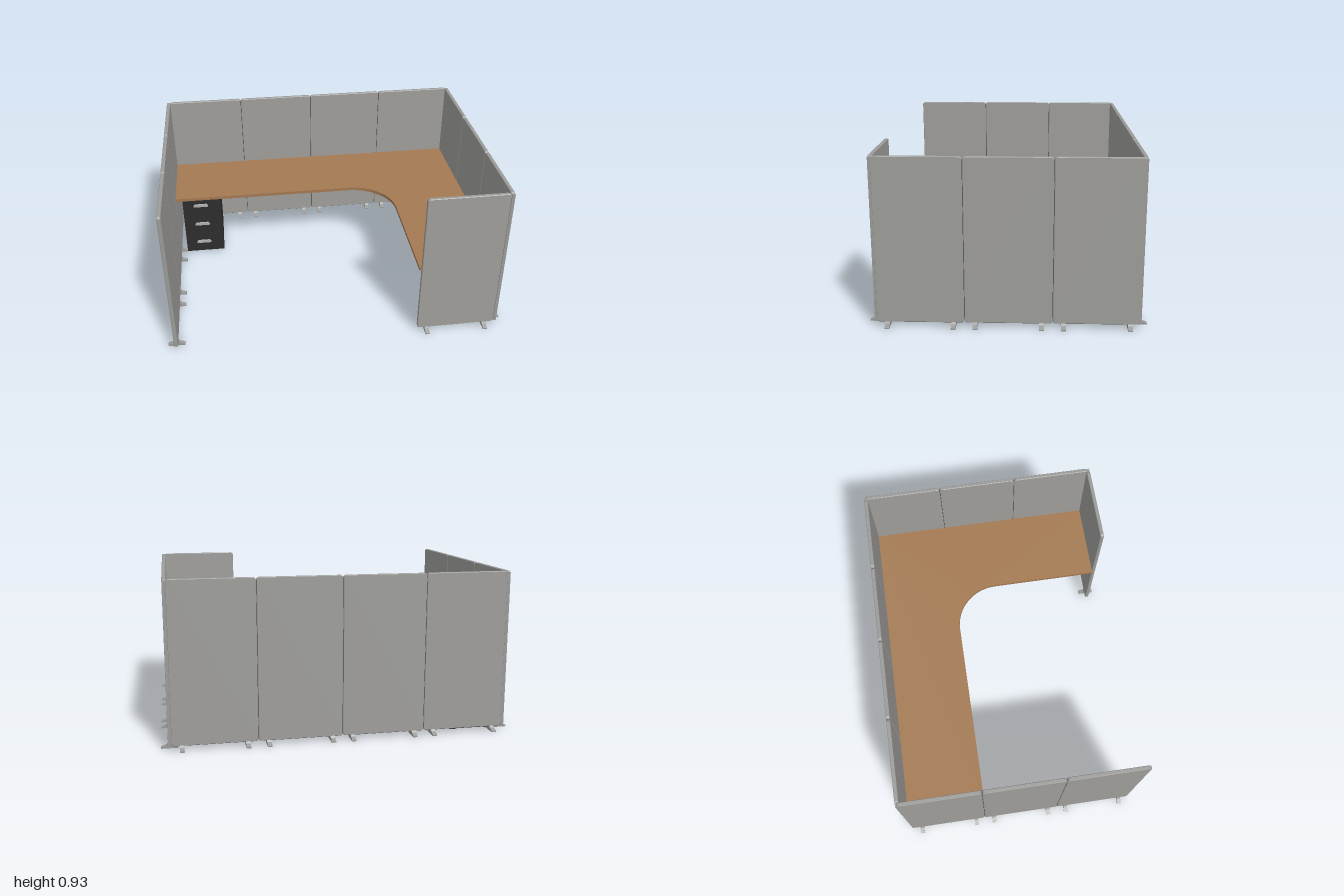
import * as THREE from 'three';

const mat = (name, color) => {
  const m = new THREE.MeshStandardMaterial({ color });
  m.name = name;
  return m;
};

export function createModel() {
  const model = new THREE.Group();
  model.name = 'officeCubicle';
  const fabric = mat('greyFabric', 0x9f9e9b);
  const frame = mat('greyFrame', 0x9b9b99);
  const seam = mat('darkSeam', 0x3c3c3c);
  const wood = mat('wood', 0xa47a53);
  const black = mat('blackCabinet', 0x2d2d2d);
  const metal = mat('lightMetal', 0xb0b0ae);

  const add = (parent, name, geo, material, x = 0, y = 0, z = 0) => {
    const mesh = new THREE.Mesh(geo, material);
    mesh.name = name;
    mesh.position.set(x, y, z);
    parent.add(mesh);
    return mesh;
  };
  const box = (w, h, d) => new THREE.BoxGeometry(w, h, d);
  const polygon = pts => new THREE.Shape(pts.map(p => new THREE.Vector2(...p)));

  // Partition panel: rounded rectangle with softened frame edges
  const BOTTOM = 0.025, TOP = 0.932, T = 0.022, B = 0.003;
  const panelGeo = width => {
    const w = width / 2 - 0.001 - B, y0 = BOTTOM + B, y1 = TOP - B, r = 0.014;
    const s = new THREE.Shape();
    s.moveTo(-w + r, y0);
    s.lineTo(w - r, y0);
    s.absarc(w - r, y0 + r, r, -Math.PI / 2, 0);
    s.lineTo(w, y1 - r);
    s.absarc(w - r, y1 - r, r, 0, Math.PI / 2);
    s.lineTo(-w + r, y1);
    s.absarc(-w + r, y1 - r, r, Math.PI / 2, Math.PI);
    s.lineTo(-w, y0 + r);
    s.absarc(-w + r, y0 + r, r, Math.PI, Math.PI * 1.5);
    const g = new THREE.ExtrudeGeometry(s, {
      depth: T - 2 * B, bevelEnabled: true, bevelSize: B, bevelThickness: B,
      bevelSegments: 1, curveSegments: 5,
    });
    return g.translate(0, 0, -T / 2 + B);
  };

  // Foot: low tapered bar lying across the panel, with a short stem
  const footGeo = new THREE.ExtrudeGeometry(polygon([
    [-0.048, 0], [0.048, 0], [0.048, 0.007], [0.018, 0.018], [0.011, 0.028],
    [-0.011, 0.028], [-0.018, 0.018], [-0.048, 0.007],
  ]), { depth: 0.025, bevelEnabled: false }).translate(0, 0, -0.0125).rotateY(Math.PI / 2);

  // A straight run of equal panels along local x, with feet and joint strips
  const wall = (name, count, width, x, z, turn) => {
    const g = new THREE.Group();
    g.name = name;
    g.position.set(x, 0, z);
    g.rotation.y = turn;
    const geo = panelGeo(width);
    for (let i = 0; i < count; i++) {
      const cx = (i - (count - 1) / 2) * width;
      add(g, 'panel', geo, [fabric, frame], cx);
      for (const s of [-1, 1]) add(g, 'foot', footGeo, frame, cx + s * (width / 2 - 0.058));
      if (i > 0) {
        add(g, 'jointStrip', box(0.008, TOP - BOTTOM - 0.03, T - 0.006), seam,
          cx - width / 2, (TOP + BOTTOM) / 2);
      }
    }
    model.add(g);
  };
  wall('backWall', 4, 0.474, 0, -0.705, 0);
  wall('leftWall', 3, 0.47, 0.954, -0.008, Math.PI / 2);
  wall('rightWall', 3, 0.47, -0.954, -0.008, Math.PI / 2);
  wall('frontReturn', 1, 0.47, 0.71, 0.699, 0);

  // Corner posts closing the outer corners
  for (const [x, z] of [[-0.955, -0.706], [0.955, -0.706], [0.955, 0.699]]) {
    add(model, 'cornerPost', box(0.018, TOP - BOTTOM - 0.012, 0.018), frame,
      x, (TOP + BOTTOM) / 2, z);
  }

  // L-shaped desktop with a curved inner corner (shape y is -z)
  const desk = new THREE.Shape();
  desk.moveTo(-0.942, 0.235);
  desk.lineTo(0.197, 0.235);
  desk.absarc(0.197, -0.035, 0.27, Math.PI / 2, 0, true);
  desk.lineTo(0.467, -0.688);
  desk.lineTo(0.942, -0.688);
  desk.lineTo(0.942, 0.694);
  desk.lineTo(-0.942, 0.694);
  const deskGeo = new THREE.ExtrudeGeometry(desk, { depth: 0.02, bevelEnabled: false, curveSegments: 24 });
  add(model, 'desktop', deskGeo.rotateX(-Math.PI / 2), wood, 0, 0.44, 0);

  // Drawer cabinet
  const cabinet = new THREE.Group();
  cabinet.name = 'drawerCabinet';
  cabinet.position.set(-0.78, 0, -0.475);
  model.add(cabinet);
  add(cabinet, 'carcass', box(0.25, 0.433, 0.378), black, 0, 0.2225, 0);
  for (const x of [-0.105, 0.105]) for (const z of [-0.165, 0.165]) {
    add(cabinet, 'cabinetFoot', box(0.03, 0.008, 0.03), black, x, 0.004, z);
  }
  const handleGeo = new THREE.ExtrudeGeometry(polygon([
    [-0.048, -0.009], [0.048, -0.009], [0.048, -0.002], [0.038, 0.009],
    [-0.038, 0.009], [-0.048, -0.002],
  ]), { depth: 0.012, bevelEnabled: false });
  for (let i = 0; i < 3; i++) {
    const y = 0.079 + i * 0.1445;
    add(cabinet, 'drawerFront', box(0.25, 0.141, 0.008), black, 0, y, 0.192);
    add(cabinet, 'drawerHandle', handleGeo, metal, -0.007, y + 0.007, 0.195);
  }
  return model;
}
